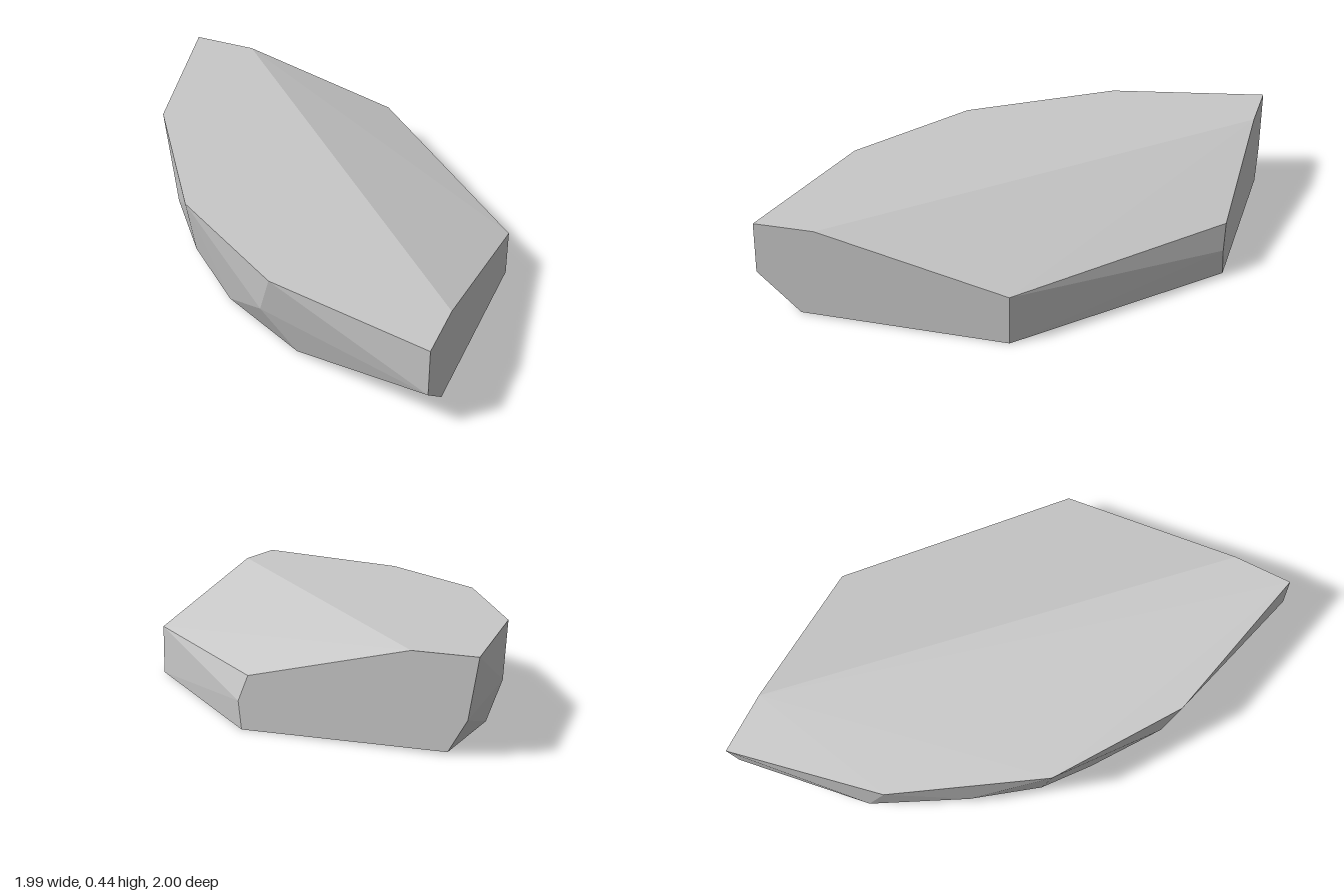
import * as THREE from 'three';
import { ConvexGeometry } from 'three/addons/geometries/ConvexGeometry.js';

export function createModel() {
  const group = new THREE.Group();
  group.name = 'rockSlab';

  const stone = new THREE.MeshStandardMaterial({ color: 0xc8c8c8, flatShading: true });
  stone.name = 'light grey stone';

  // Flat top, ending at the ridge where the slope begins
  const top = [
    [-0.69, 0.437, -1], [-1, 0.437, -1], [-0.85, 0.437, -0.24],
    [-0.42, 0.437, 0.42], [0.17, 0.437, 0.813], [0.993, 0.437, 1], [0.993, 0.437, 0.71],
  ];
  // Lower edge of the sloping back corner
  const slope = [[0.09, 0.25, -1], [0.993, 0.235, -0.193]];
  // Chipped corners around the waist
  const waist = [
    [0.14, 0.13, -1], [-0.95, 0.16, -1], [-0.86, 0.178, -0.33], [-0.62, 0.178, 0.085],
    [-0.4, 0.135, 0.36], [0.1, 0.21, 0.75], [0.993, 0.19, 1],
  ];
  // Underside, slightly tilted
  const base = [
    [0.125, 0, -1], [-0.86, 0.012, -1], [-0.83, 0.012, -0.46], [-0.5, 0.012, 0.16],
    [-0.16, 0.012, 0.51], [0.28, 0.011, 0.746], [0.993, 0.008, 0.793], [0.993, 0, -0.193],
  ];

  const points = [...top, ...slope, ...waist, ...base].map((p) => new THREE.Vector3(...p));
  const rock = new THREE.Mesh(new ConvexGeometry(points), stone);
  rock.name = 'rock';
  group.add(rock);
  return group;
}
